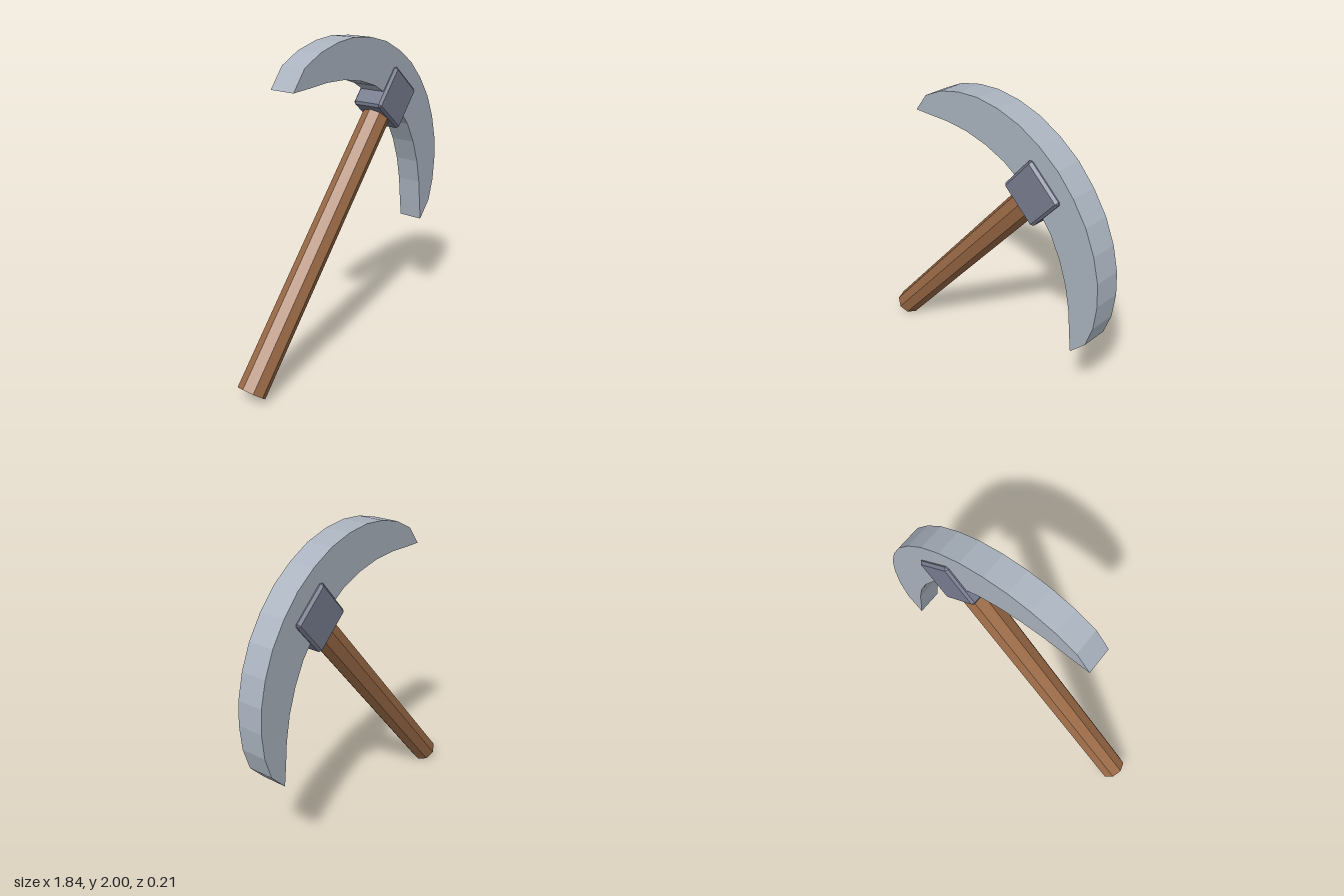
import * as THREE from 'three';
import { ConvexGeometry } from 'three/addons/geometries/ConvexGeometry.js';

const steel = new THREE.MeshStandardMaterial({ color: 0xaab3bf });
steel.name = 'blade steel';
const iron = new THREE.MeshStandardMaterial({ color: 0x777c8f });
iron.name = 'collar iron';
const wood = new THREE.MeshStandardMaterial({ color: 0x9c6b47 });
wood.name = 'handle wood';

function part(name, geometry, material) {
  const mesh = new THREE.Mesh(geometry, material);
  mesh.name = name;
  return mesh;
}

// Box with half sizes a, b, c and every edge cut by a chamfer
function chamferedBox(a, b, c, cut) {
  const points = [];
  for (const x of [-1, 1]) for (const y of [-1, 1]) for (const z of [-1, 1]) {
    points.push(
      new THREE.Vector3(x * a, y * (b - cut), z * (c - cut)),
      new THREE.Vector3(x * (a - cut), y * b, z * (c - cut)),
      new THREE.Vector3(x * (a - cut), y * (b - cut), z * c)
    );
  }
  return new ConvexGeometry(points);
}

// Crescent outline, mirrored about the handle axis
function crescentBlade(depth) {
  const outer = [[0.16, 0.248], [0.318, 0.207], [0.464, 0.137], [0.594, 0.046],
    [0.698, -0.06], [0.79, -0.19], [0.849, -0.328], [0.844, -0.479]];
  const inner = [[0.755, -0.397], [0.64, -0.287], [0.515, -0.19],
    [0.378, -0.112], [0.235, -0.056], [0.08, -0.03]];
  const half = [...outer, ...inner];
  const mirrored = half.map(([x, y]) => [-x, y]).reverse();
  const outline = [[0, 0.264], ...half, ...mirrored].map(([x, y]) => new THREE.Vector2(x, y));
  const geometry = new THREE.ExtrudeGeometry(new THREE.Shape(outline), { depth, bevelEnabled: false });
  return geometry.translate(0, 0, -depth / 2);
}

// Eight-sided shaft with flat facets, from y = bottom to y = top
function octagonalShaft(radius, bottom, top) {
  const geometry = new THREE.CylinderGeometry(radius, radius, top - bottom, 8)
    .translate(0, (top + bottom) / 2, 0)
    .toNonIndexed();
  geometry.computeVertexNormals();
  return geometry;
}

export function createModel() {
  const model = new THREE.Group();
  model.name = 'pickaxe';

  // Built upright around the collar, then leaned over
  const tool = new THREE.Group();
  tool.name = 'leaningTool';
  tool.add(
    part('handle', octagonalShaft(0.0875, -1.99, 0.12), wood),
    part('blade', crescentBlade(0.164), steel),
    part('collar', chamferedBox(0.142, 0.146, 0.104, 0.015), iron)
  );
  tool.position.set(0.42, 1.587, 0);
  tool.rotation.z = -THREE.MathUtils.degToRad(40);
  model.add(tool);
  return model;
}
